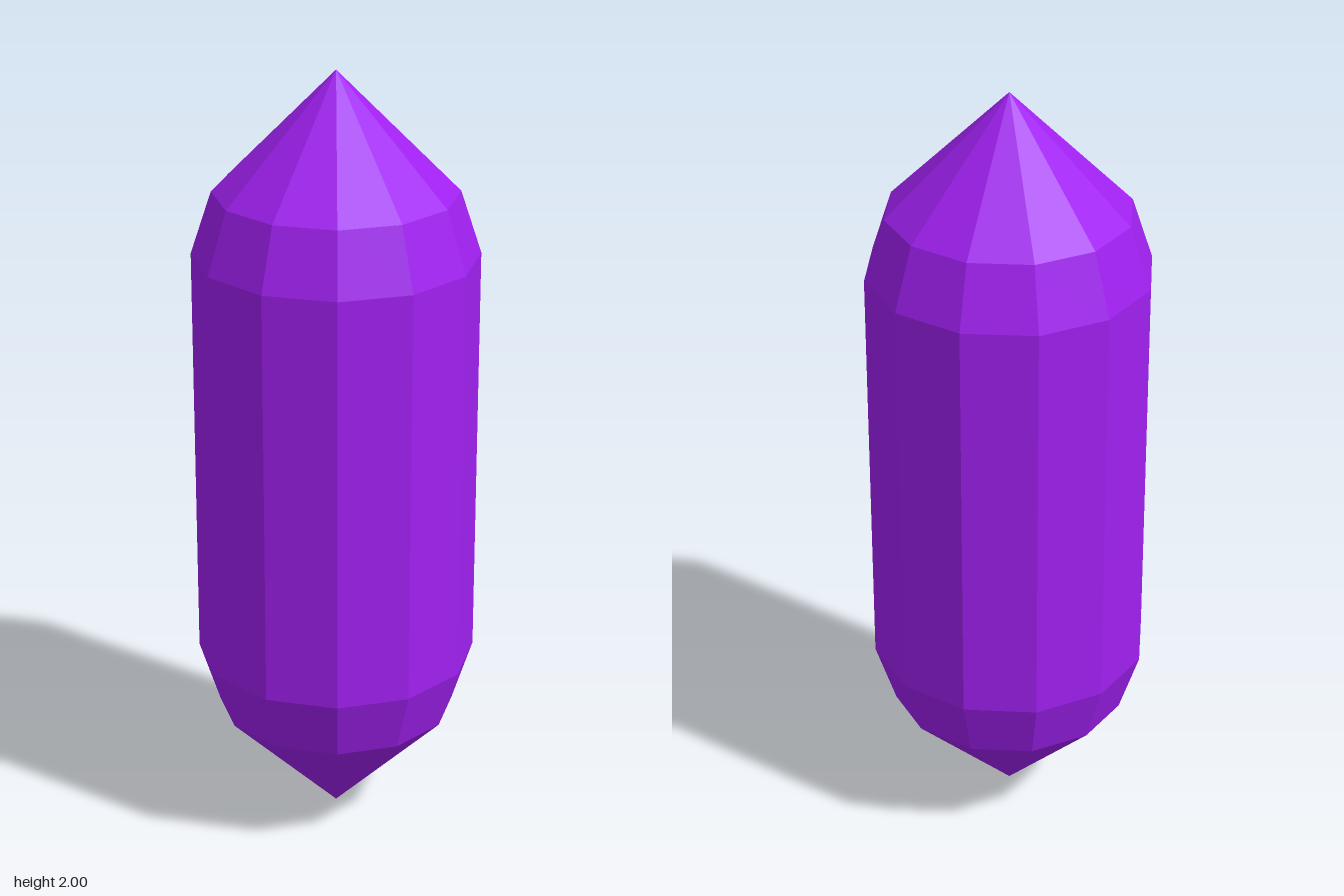
import * as THREE from 'three';

// Twelve-sided, double-pointed crystal with a bevelled shoulder at each end
export function createModel() {
  const group = new THREE.Group();
  group.name = 'crystal';

  const material = new THREE.MeshStandardMaterial({ color: 0xa020f0, flatShading: true });

  // Profile from the lower tip to the upper tip: [radius, height]
  const profile = [
    [0, 0], [0.304, 0.308], [0.356, 0.468],
    [0.356, 1.54], [0.304, 1.698], [0, 2],
  ].map(([r, y]) => new THREE.Vector2(r, y));

  const body = new THREE.Mesh(new THREE.LatheGeometry(profile, 12), material);
  body.name = 'crystalBody';
  group.add(body);

  return group;
}
